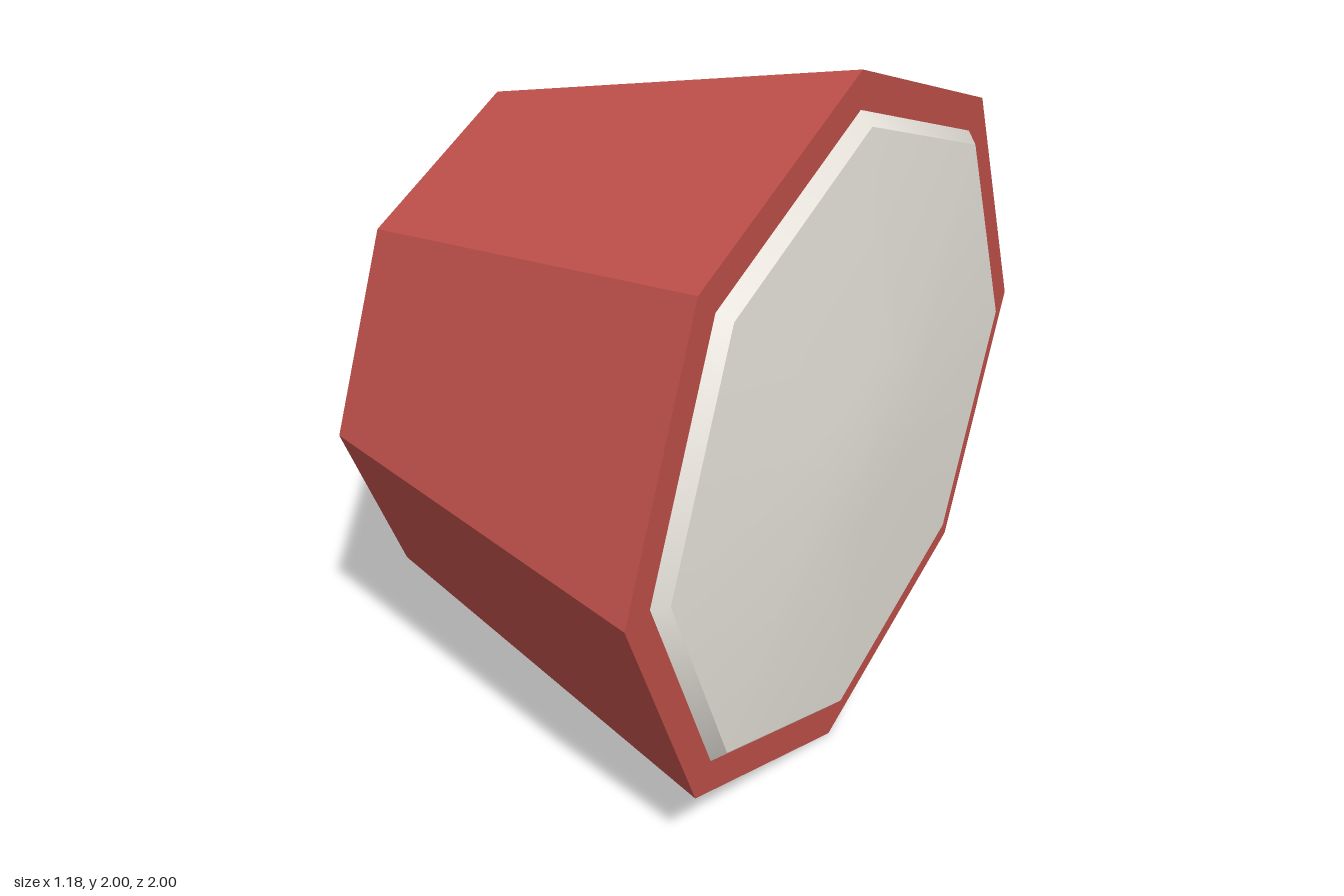
import * as THREE from 'three';

export function createModel() {
  const model = new THREE.Group();
  const red = new THREE.MeshStandardMaterial({ color: 0xc0504a, flatShading: true });
  red.name = 'red';
  const offWhite = new THREE.MeshStandardMaterial({ color: 0xeae6de });
  offWhite.name = 'offWhite';

  // Everything is an eight-sided turning about the x axis
  const turned = new THREE.Group();
  turned.name = 'lamp';
  turned.rotation.z = -Math.PI / 2;
  turned.position.y = 1;
  model.add(turned);

  const add = (name, geometry, material) => {
    const mesh = new THREE.Mesh(geometry, material);
    mesh.name = name;
    turned.add(mesh);
    return mesh;
  };
  // Profile points are [radius, position along the axis]
  const lathe = (points) =>
    new THREE.LatheGeometry(points.map(([r, a]) => new THREE.Vector2(r, a)), 8);

  // Tapered housing, wide end towards +x
  add('housing', new THREE.CylinderGeometry(1, 0.72, 1.1, 8), red).position.y = -0.04;

  // Bevelled rim and shallow domed lens, split to keep a sharp edge between them
  add('lensRim', lathe([[0.9, 0.51], [0.865, 0.543]]), offWhite);
  add('lens', lathe([[0.865, 0.543], [0.25, 0.588], [0, 0.59]]), offWhite);

  return model;
}
